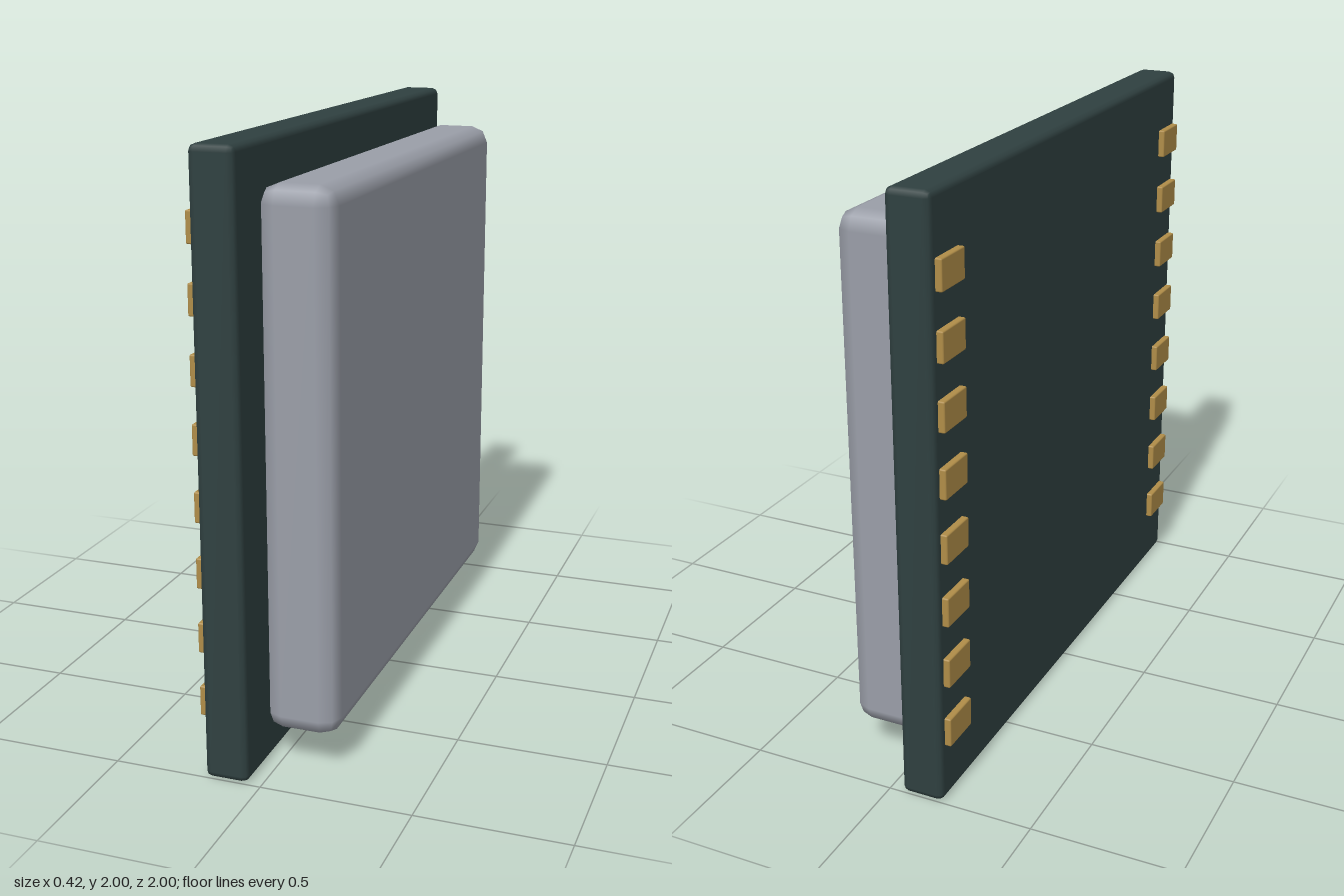
import * as THREE from 'three';
import { RoundedBoxGeometry } from 'three/addons/geometries/RoundedBoxGeometry.js';

const boardMaterial = new THREE.MeshStandardMaterial({ color: 0x2f4040 });
const shieldMaterial = new THREE.MeshStandardMaterial({ color: 0x9a9ea8 });
const padMaterial = new THREE.MeshStandardMaterial({ color: 0xb08d48 });

// Bevelled box spanning x0..x1, centred on y and z
function slab(name, x0, x1, height, depth, bevel, material, y = 1, z = 0) {
  const geometry = new RoundedBoxGeometry(x1 - x0, height, depth, 1, bevel);
  const mesh = new THREE.Mesh(geometry, material);
  mesh.name = name;
  mesh.position.set((x0 + x1) / 2, y, z);
  return mesh;
}

export function createModel() {
  const model = new THREE.Group();
  model.name = 'shieldedModule';

  // Circuit board standing upright, with the metal can on its +x face
  model.add(slab('circuitBoard', -0.19, -0.044, 2, 2, 0.022, boardMaterial));
  model.add(slab('shieldCan', -0.04, 0.206, 1.75, 1.745, 0.06, shieldMaterial));

  // Two columns of eight solder pads on the -x face
  const pads = new THREE.Group();
  pads.name = 'solderPads';
  for (const side of [-1, 1]) {
    for (let i = 0; i < 8; i++) {
      const y = 1.003 + (i - 3.5) * 0.215;
      pads.add(slab('solderPad', -0.212, -0.186, 0.1, 0.145, 0.005, padMaterial, y, side * 0.9));
    }
  }
  model.add(pads);
  return model;
}
